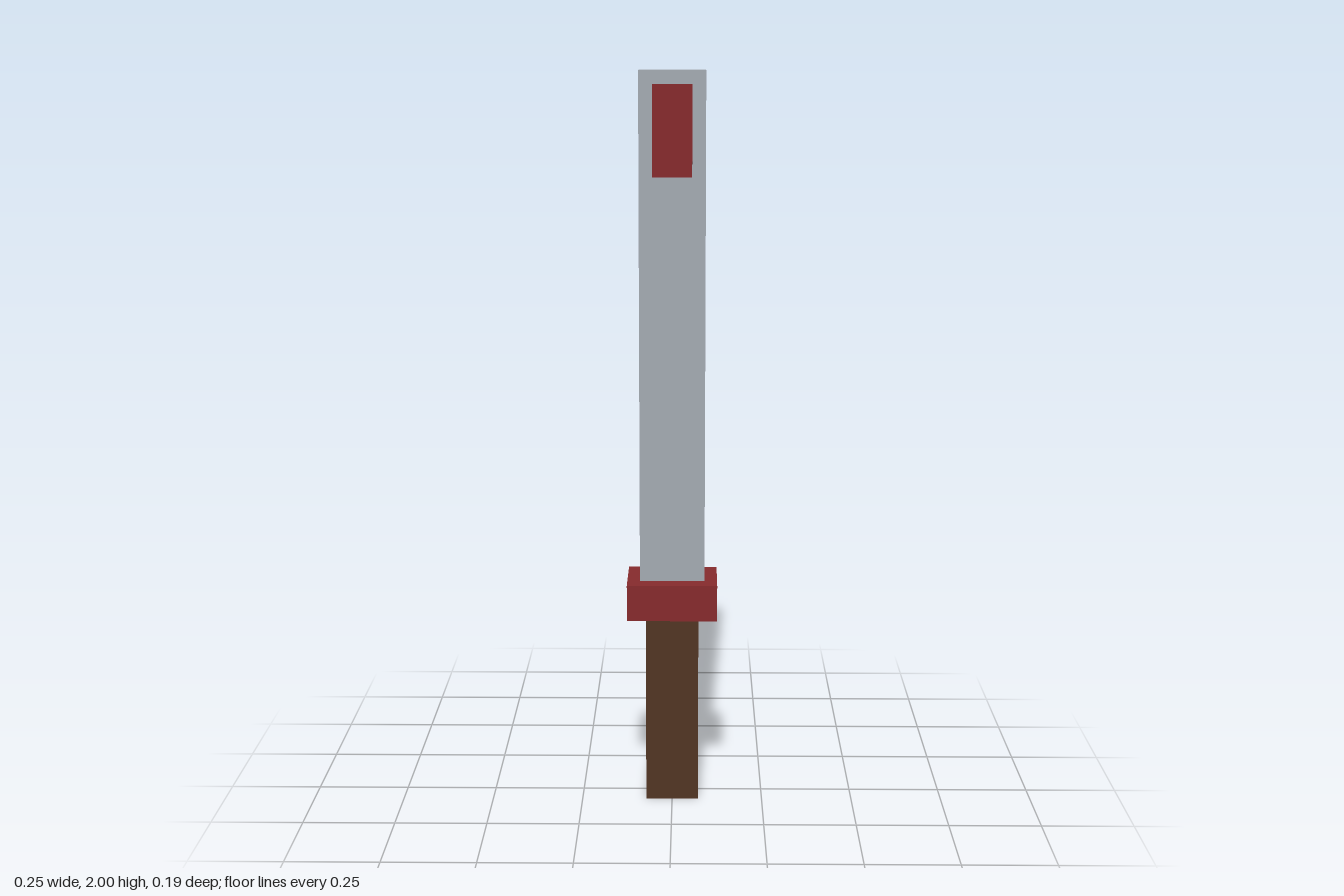
import * as THREE from 'three';

export function createModel() {
  const model = new THREE.Group();
  model.name = 'sword';

  const material = (name, color) => {
    const m = new THREE.MeshStandardMaterial({ color });
    m.name = name;
    return m;
  };
  const steel = material('steel grey', 0xa5abb3);
  const red = material('dark red', 0x872b2d);
  const wood = material('brown wood', 0x523523);

  // Box spanning bottom to top in y
  const addBox = (name, mat, width, depth, bottom, top, z = 0) => {
    const mesh = new THREE.Mesh(new THREE.BoxGeometry(width, top - bottom, depth), mat);
    mesh.name = name;
    mesh.position.set(0, (bottom + top) / 2, z);
    model.add(mesh);
  };

  addBox('grip', wood, 0.144, 0.144, 0, 0.525);
  addBox('guard', red, 0.246, 0.19, 0.525, 0.625);
  addBox('blade', steel, 0.177, 0.095, 0.625, 2);

  // Raised plates near the tip, one on each face of the blade
  for (const [name, side] of [['frontPlate', 1], ['backPlate', -1]]) {
    addBox(name, red, 0.105, 0.016, 1.725, 1.965, side * 0.052);
  }

  return model;
}
